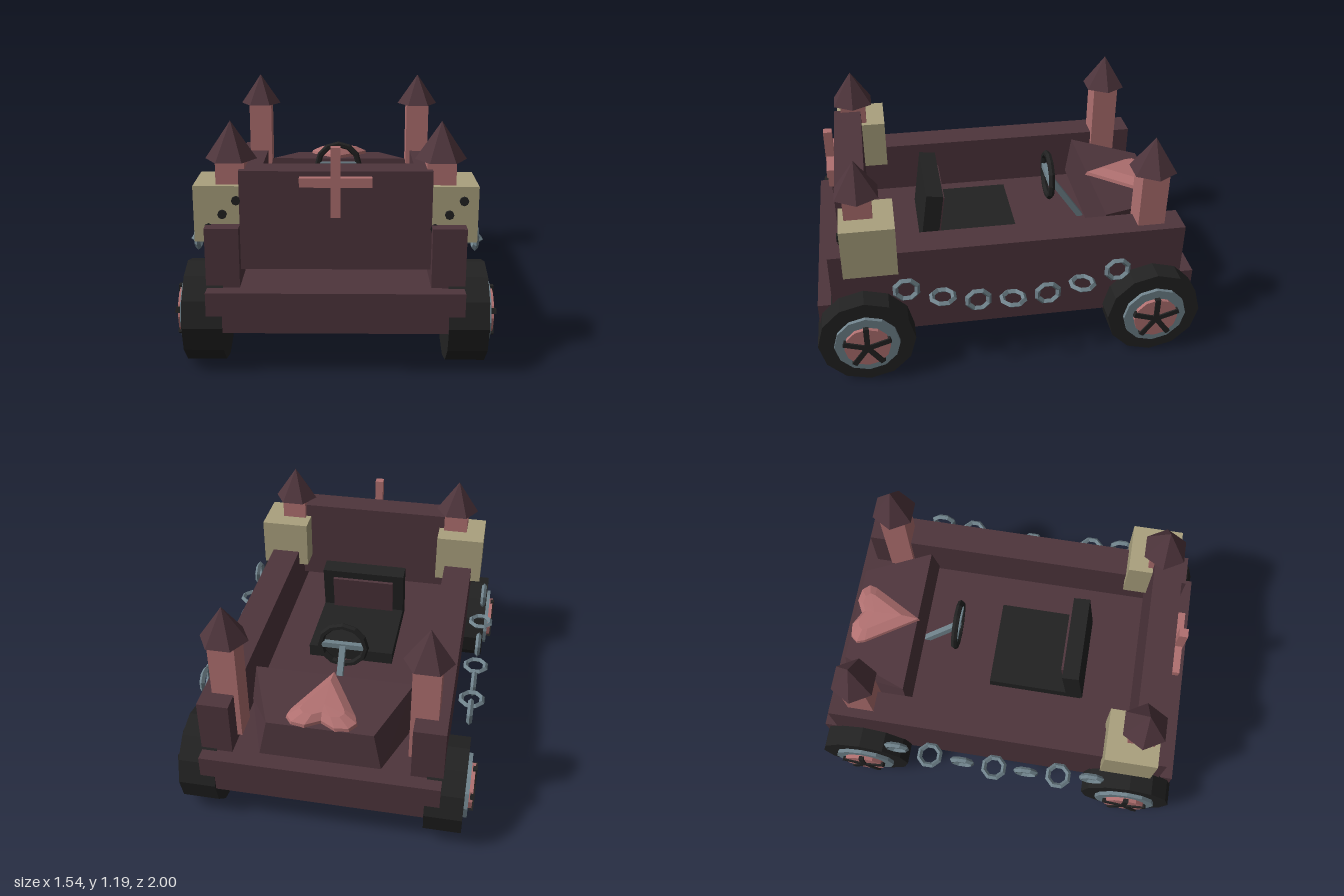
import * as THREE from 'three';

const mat = (name, color) => {
  const m = new THREE.MeshStandardMaterial({ color });
  m.name = name;
  m.flatShading = true;
  return m;
};

export function createModel() {
  const root = new THREE.Group();
  root.name = 'castleCar';
  const maroon = mat('darkMaroon', 0x4e353c);
  const pink = mat('dustyPink', 0xb07070);
  const bone = mat('bone', 0xaaa17e);
  const black = mat('black', 0x222222);
  const steel = mat('steel', 0x6f828b);

  const add = (name, geo, material, x = 0, y = 0, z = 0, parent = root) => {
    const m = new THREE.Mesh(geo, material);
    m.name = name;
    m.position.set(x, y, z);
    parent.add(m);
    return m;
  };
  // box given by its minimum and maximum corners
  const box = (name, material, a, b, parent = root) =>
    add(name, new THREE.BoxGeometry(b[0] - a[0], b[1] - a[1], b[2] - a[2]), material,
      (a[0] + b[0]) / 2, (a[1] + b[1]) / 2, (a[2] + b[2]) / 2, parent);

  // body
  box('chassis', maroon, [-0.605, 0.22, -0.985], [0.605, 0.42, 0.985]);
  box('frontPanel', maroon, [-0.45, 0.49, 0.7], [0.45, 0.97, 0.85]);
  for (const s of [-1, 1]) {
    const wall = box('sideWall', maroon, [-0.08, 0.37, -0.91], [0.08, 0.71, 0.91]);
    wall.position.x = s * 0.53;
  }

  // cross on the front panel
  box('crossUpright', pink, [-0.023, 0.76, 0.85], [0.023, 1.09, 0.895]);
  box('crossBar', pink, [-0.168, 0.903, 0.852], [0.168, 0.947, 0.89]);

  // towers with pointed roofs
  const roofGeo = new THREE.ConeGeometry(0.122, 0.18, 6).rotateY(Math.PI / 2);
  for (const x of [-0.493, 0.493]) {
    for (const z of [-0.742, 0.742]) {
      const bottom = z > 0 ? 0.85 : 0.45;
      box('tower', pink, [x - 0.068, bottom, z - 0.07], [x + 0.068, 1.02, z + 0.07]);
      add('towerRoof', roofGeo, maroon, x, 1.095, z);
    }
  }

  // dice with three pips on the front face
  const pipGeo = new THREE.CylinderGeometry(0.022, 0.022, 0.016, 8).rotateX(Math.PI / 2);
  for (const x of [-0.531, 0.531]) {
    box('die', bone, [x - 0.135, 0.623, 0.57], [x + 0.135, 0.895, 0.84]);
    for (const k of [-1, 0, 1]) add('diePip', pipGeo, black, x + k * 0.066, 0.76 + k * 0.067, 0.844);
  }

  // wheels: each is built along +x and turned round for the right side
  const disc = (r, w, n) => new THREE.CylinderGeometry(r, r, w, n).rotateZ(Math.PI / 2);
  const tyreGeo = disc(0.248, 0.19, 12);
  const rimGeo = disc(0.167, 0.03, 12);
  const hubGeo = disc(0.117, 0.025, 12);
  const spokeGeo = new THREE.BoxGeometry(0.022, 0.125, 0.028).translate(0, 0.0625, 0);
  for (const s of [-1, 1]) {
    for (const z of [-0.752, 0.752]) {
      const wheel = new THREE.Group();
      wheel.name = 'wheel';
      wheel.position.set(s * 0.625, 0.248, z);
      wheel.rotation.y = s > 0 ? 0 : Math.PI;
      root.add(wheel);
      add('tyre', tyreGeo, black, 0, 0, 0, wheel);
      add('rim', rimGeo, steel, 0.1, 0, 0, wheel);
      add('hub', hubGeo, pink, 0.122, 0, 0, wheel);
      for (let i = 0; i < 5; i++)
        add('spoke', spokeGeo, black, 0.132, 0, 0, wheel).rotation.x = (i * Math.PI * 2) / 5;
    }
  }

  // hanging chains: links alternate between upright and flat
  const linkGeo = new THREE.TorusGeometry(0.058, 0.015, 4, 8, Math.PI * 2).rotateZ(Math.PI / 8);
  for (const x of [-0.7, 0.7]) {
    for (let i = -3; i <= 3; i++) {
      const link = add('chainLink', linkGeo, steel, x, 0.428 + 0.0135 * i * i, i * 0.179);
      if (i % 2) link.rotation.y = Math.PI / 2;
      else link.rotation.x = Math.PI / 2;
    }
  }

  // seat and backrest
  box('seatBase', black, [-0.235, 0.45, -0.1], [0.235, 0.52, 0.42]);
  const back = new THREE.Group();
  back.name = 'backrest';
  back.position.set(0, 0.46, 0.385);
  back.rotation.x = -0.13;
  root.add(back);
  box('backrestFrame', black, [-0.235, 0, -0.045], [0.235, 0.32, 0.045], back);
  box('backrestCushion', maroon, [-0.175, 0.05, -0.062], [0.175, 0.275, -0.04], back);

  // steering wheel and column
  add('steeringWheel', new THREE.TorusGeometry(0.122, 0.018, 6, 12), black, 0, 0.71, -0.313);
  box('steeringSpoke', steel, [-0.115, 0.695, -0.328], [0.115, 0.725, -0.3]);
  const column = add('steeringColumn', new THREE.BoxGeometry(0.032, 0.36, 0.032), steel, 0, 0.565, -0.412);
  column.rotation.x = Math.atan2(0.2, 0.29);

  // hood: a box tapered towards the rear and inset on top
  const hood = new THREE.BoxGeometry(2, 2, 2);
  const p = hood.attributes.position;
  for (let i = 0; i < p.count; i++) {
    const top = p.getY(i) > 0, dash = p.getZ(i) > 0;
    const half = (dash ? 0.45 : 0.305) - (top ? 0.04 : 0);
    p.setXYZ(i, Math.sign(p.getX(i)) * half,
      top ? (dash ? 0.69 : 0.645) : 0.45,
      dash ? (top ? -0.545 : -0.525) : (top ? -0.905 : -0.922));
  }
  add('hood', hood, maroon);

  // faceted heart: shrinking rings of one outline, closed at a crown point
  const half = [[0, 0.255], [0.09, 0.1], [0.165, -0.03], [0.178, -0.075], [0.145, -0.115], [0.075, -0.125], [0, -0.085]];
  const outline = [...half, ...half.slice(1, -1).reverse().map(([x, z]) => [-x, z])];
  const n = outline.length, verts = [], faces = [];
  for (const [k, y] of [[1, 0], [0.97, 0.02], [0.62, 0.05]])
    for (const [x, z] of outline) verts.push(x * k, y, z * k);
  verts.push(0, 0.052, 0);
  for (let i = 0; i < n; i++) {
    const j = (i + 1) % n;
    for (const r of [0, n]) faces.push(r + i, r + j, r + n + j, r + i, r + n + j, r + n + i);
    faces.push(2 * n + i, 2 * n + j, 3 * n);
  }
  const heartGeo = new THREE.BufferGeometry();
  heartGeo.setAttribute('position', new THREE.Float32BufferAttribute(verts, 3));
  heartGeo.setIndex(faces);
  heartGeo.computeVertexNormals();
  add('heart', heartGeo, pink, 0, 0.658, -0.783).rotation.x = -0.125;

  return root;
}
